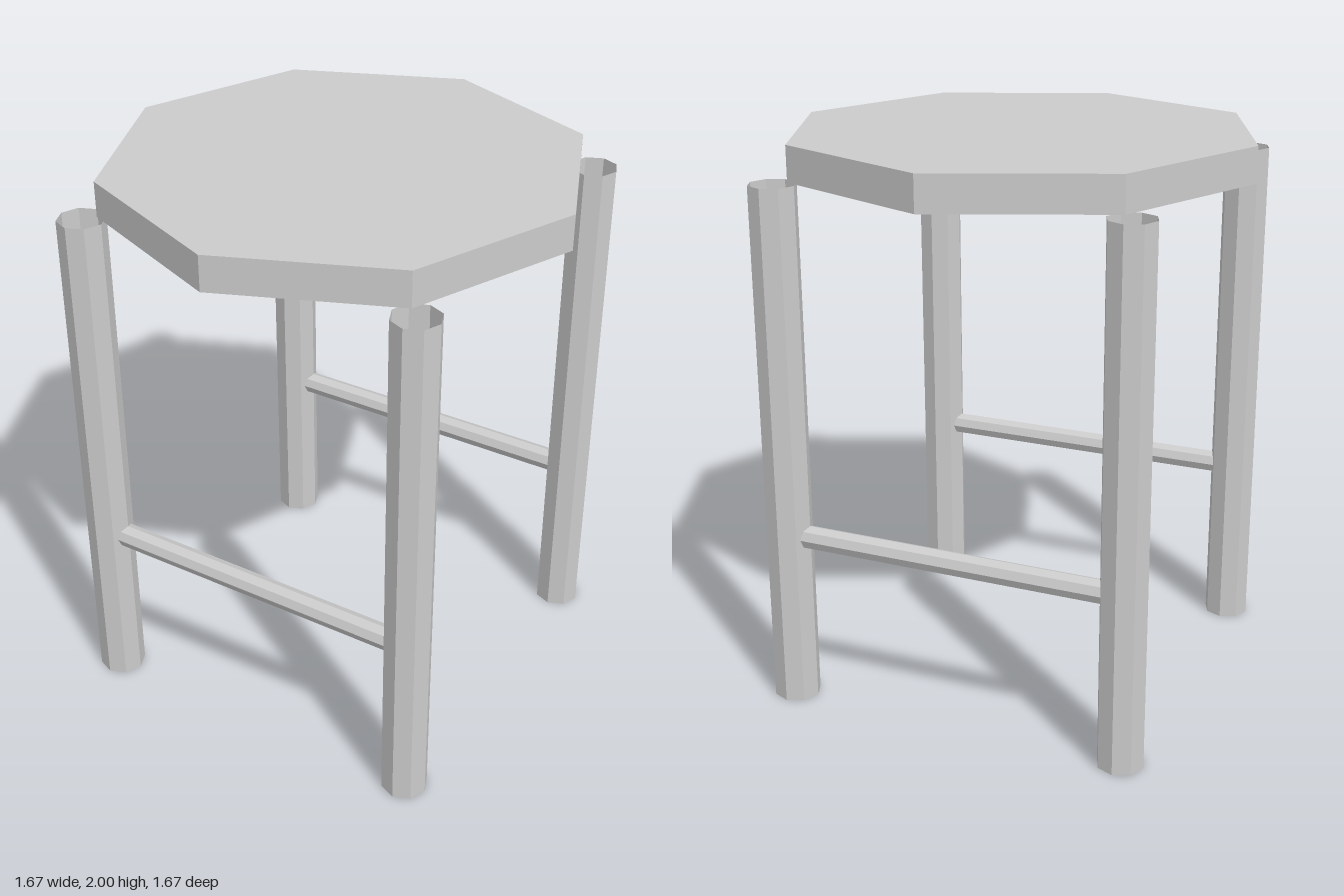
import * as THREE from 'three';

const SIDES = 8;
const SEAT_RADIUS = 0.833, SEAT_THICKNESS = 0.125;
const LEG_RADIUS = 0.083, LEG_HEIGHT = 1.875, LEG_OFFSET = 0.625;
const RAIL_RADIUS = 0.042, RAIL_HEIGHT = 0.625;

export function createModel() {
  const stool = new THREE.Group();
  stool.name = 'stool';

  const solid = new THREE.MeshStandardMaterial({ color: 0xcccccc, flatShading: true });
  const tube = solid.clone();
  tube.side = THREE.DoubleSide; // legs and rails are open tubes

  const add = (name, geometry, material, x, y, z) => {
    const mesh = new THREE.Mesh(geometry, material);
    mesh.name = name;
    mesh.position.set(x, y, z);
    stool.add(mesh);
  };

  // Octagonal seat with corners on the axes
  const seat = new THREE.CylinderGeometry(SEAT_RADIUS, SEAT_RADIUS, SEAT_THICKNESS, SIDES);
  add('seat', seat, solid, 0, LEG_HEIGHT + SEAT_THICKNESS / 2, 0);

  const leg = new THREE.CylinderGeometry(LEG_RADIUS, LEG_RADIUS, LEG_HEIGHT, SIDES, 1, true);
  const rail = new THREE.CylinderGeometry(RAIL_RADIUS, RAIL_RADIUS, LEG_OFFSET * 2, SIDES, 1, true);
  rail.rotateZ(Math.PI / 2);

  // Front and back leg pairs, each joined by a rail
  for (const [end, z] of [['front', LEG_OFFSET], ['back', -LEG_OFFSET]]) {
    for (const [side, x] of [['Left', LEG_OFFSET], ['Right', -LEG_OFFSET]]) {
      add(`${end}${side}Leg`, leg, tube, x, LEG_HEIGHT / 2, z);
    }
    add(`${end}Rail`, rail, tube, 0, RAIL_HEIGHT, z);
  }

  return stool;
}
